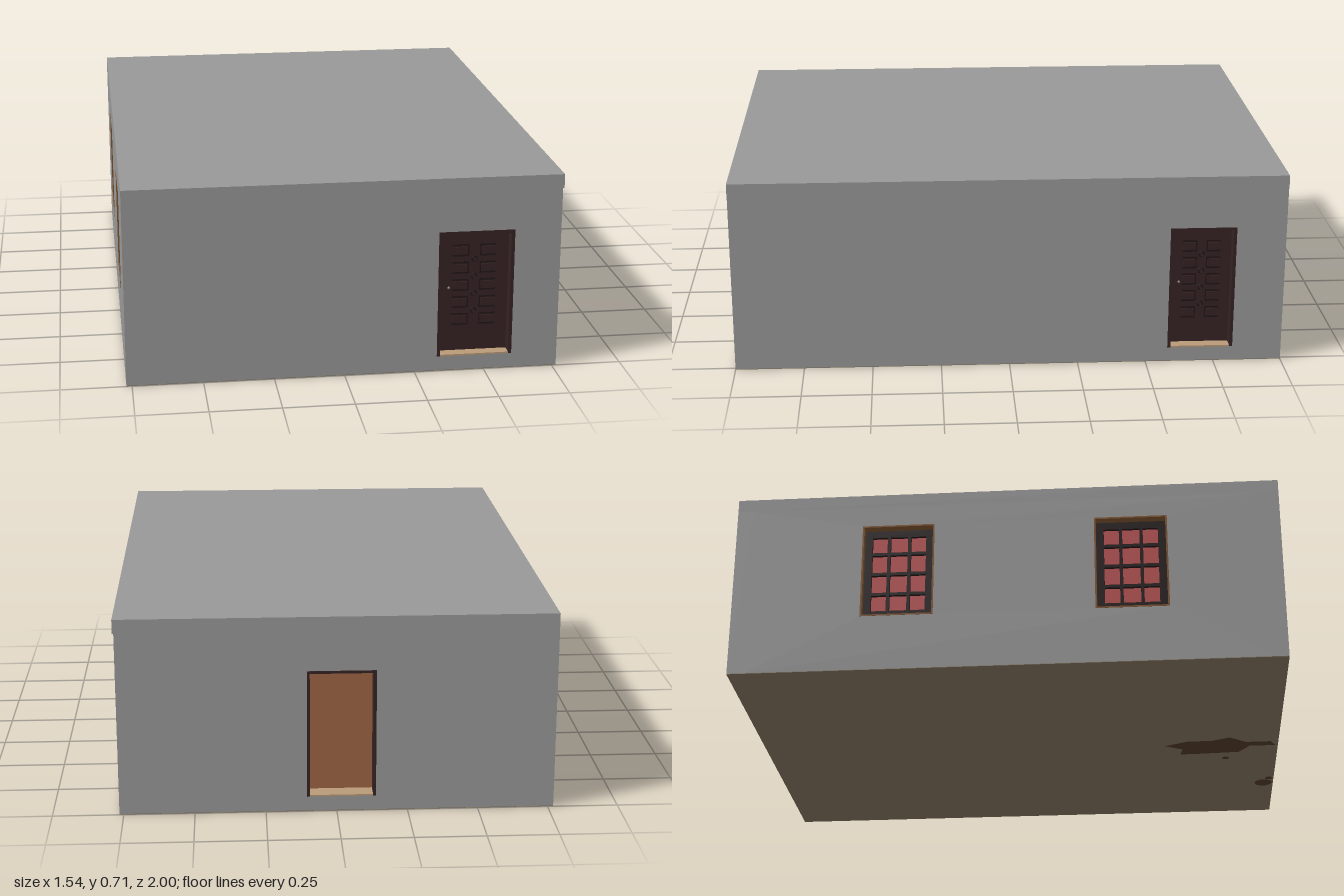
import * as THREE from 'three';

const mat = (name, color) => {
  const m = new THREE.MeshStandardMaterial({ color });
  m.name = name;
  return m;
};

const T = 0.06;          // wall thickness
const H = 0.665;         // wall height up to the roof slab
const DOOR = [0.055, 0.52];
const WINDOW = [0.215, 0.585];

export function createModel() {
  const M = {
    wall: mat('grey wall', 0x989898),
    plaster: mat('beige plaster', 0x85765e),
    stain: mat('dark stain', 0x543b2a),
    floor: mat('wood floor', 0x784b33),
    door: mat('dark door wood', 0x362323),
    groove: mat('door carving', 0x221617),
    sill: mat('tan threshold', 0xb89a78),
    trim: mat('window wood', 0x80552f),
    pane: mat('red pane', 0xb85252),
    metal: mat('handle metal', 0x8a8478),
  };
  const model = new THREE.Group();
  model.name = 'room';

  const add = (parent, name, geo, material, x = 0, y = 0, z = 0) => {
    const mesh = new THREE.Mesh(geo, material);
    mesh.name = name;
    mesh.position.set(x, y, z);
    parent.add(mesh);
    return mesh;
  };
  // box given by its min and max corners
  const box = (parent, name, material, x0, x1, y0, y1, z0, z1) =>
    add(parent, name, new THREE.BoxGeometry(x1 - x0, y1 - y0, z1 - z0), material,
      (x0 + x1) / 2, (y0 + y1) / 2, (z0 + z1) / 2);

  // wall facing local +z with its outer face at z = 0; holes are [x0, x1, y0, y1]
  const wall = (name, x0, x1, holes, position, turn) => {
    const g = new THREE.Group();
    g.name = name;
    g.position.set(...position);
    g.rotation.y = turn;
    model.add(g);
    const shape = new THREE.Shape();
    shape.moveTo(x0, 0.003).lineTo(x1, 0.003).lineTo(x1, H).lineTo(x0, H).closePath();
    for (const [a, b, c, d] of holes) {
      const hole = new THREE.Path();
      hole.moveTo(a, c).lineTo(a, d).lineTo(b, d).lineTo(b, c).closePath();
      shape.holes.push(hole);
    }
    add(g, name + 'Panel', new THREE.ExtrudeGeometry(shape, { depth: T, bevelEnabled: false }), M.wall, 0, 0, -T);
    return g;
  };

  // lining of an opening: two sides and a head, plus a sill
  const lining = (g, name, material, sillMaterial, [x0, x1, y0, y1], t) => {
    const z0 = -T - 0.002, z1 = 0.001;
    box(g, name + 'Side', material, x0, x0 + t, y0, y1, z0, z1);
    box(g, name + 'Side', material, x1 - t, x1, y0, y1, z0, z1);
    box(g, name + 'Head', material, x0 + t, x1 - t, y1 - t, y1, z0, z1);
    box(g, name + 'Sill', sillMaterial, x0 + t, x1 - t, y0, y0 + 0.006, z0, z1);
  };

  // closed door with five rows of carved panels
  const door = (g, hole) => {
    const [x0, x1, y0, y1] = hole;
    const w = x1 - x0, cx = (x0 + x1) / 2, face = -0.04;
    lining(g, 'doorFrame', M.door, M.sill, hole, 0.012);
    box(g, 'doorLeaf', M.door, x0 + 0.012, x1 - 0.012, y0 + 0.006, y1 - 0.012, face - 0.015, face);
    for (let row = 0; row < 5; row++) {
      const y = 0.18 + row * 0.0645;
      for (const s of [-1, 1]) {
        const px = cx + s * w * 0.18, hw = w * 0.108;
        for (const e of [-0.019, 0.019])
          box(g, 'panelMoulding', M.groove, px - hw, px + hw, y + e - 0.003, y + e + 0.003, face, face + 0.005);
        const ix = cx + s * w * 0.08;
        box(g, 'panelEdge', M.groove, ix - 0.002, ix + 0.002, y - 0.019, y + 0.019, face, face + 0.005);
        box(g, 'raisedPanel', M.door, px - hw * 0.8, px + hw * 0.8, y - 0.012, y + 0.012, face, face + 0.004);
      }
      if (row < 4) {
        const ring = new THREE.TorusGeometry(0.009, 0.003, 6, 12);
        add(g, 'rosette', ring, M.groove, cx, y + 0.032, face + 0.002);
      }
    }
    add(g, 'doorHandle', new THREE.SphereGeometry(0.005, 10, 8), M.metal, cx - w * 0.335, 0.3, face + 0.005);
  };

  // recessed window, three panes wide and four high
  const windowUnit = (g, hole) => {
    const [x0, x1, y0, y1] = hole;
    lining(g, 'windowLining', M.trim, M.trim, hole, 0.006);
    const a = x0 + 0.006, b = x1 - 0.006, c = y0 + 0.006, d = y1 - 0.006;
    box(g, 'windowPanes', M.pane, a, b, c, d, -0.048, -0.042);
    for (let i = 0; i <= 3; i++) {
      const r = i % 3 ? 0.006 : 0.014;
      const x = THREE.MathUtils.lerp(a + 0.014, b - 0.014, i / 3);
      box(g, 'windowUpright', M.groove, x - r, x + r, c, d, -0.054, -0.03);
    }
    for (let i = 0; i <= 4; i++) {
      const r = i % 4 ? 0.006 : 0.014;
      const y = THREE.MathUtils.lerp(c + 0.014, d - 0.014, i / 4);
      box(g, 'windowRail', M.groove, a, b, y - r, y + r, -0.053, -0.031);
    }
  };

  // four walls
  const frontDoor = [0.33, 0.6, ...DOOR];
  door(wall('frontWall', -0.77, 0.765, [frontDoor], [0, 0, 1], 0), frontDoor);

  const sideDoor = [0.58, 0.82, ...DOOR];
  door(wall('rightWall', -1 + T, 1 - T, [sideDoor], [0.765, 0, 0], Math.PI / 2), sideDoor);

  const doorway = [-0.105, 0.138, ...DOOR];
  const back = wall('backWall', -0.765, 0.77, [doorway], [0, 0, -1], Math.PI);
  lining(back, 'doorwayFrame', M.door, M.sill, doorway, 0.01);

  const windows = [-0.395, 0.457].map((x) => [x - 0.133, x + 0.133, ...WINDOW]);
  const left = wall('leftWall', -1 + T, 1 - T, windows, [-0.77, 0, 0], -Math.PI / 2);
  windows.forEach((hole) => windowUnit(left, hole));

  // roof, ceiling, floor and underside
  box(model, 'roof', M.wall, -0.77, 0.77, H, 0.715, -1, 1);
  box(model, 'ceiling', M.plaster, -0.77 + T, 0.765 - T, H - 0.004, H, -1 + T, 1 - T);
  box(model, 'floor', M.floor, -0.77 + T, 0.765 - T, 0.003, 0.05, -1 + T, 1 - T);
  box(model, 'underside', M.plaster, -0.77, 0.765, 0.001, 0.003, -1, 1);

  // stains under the floor, outlined as [x, z]
  const blot = [[0.04, 0.99], [0.04, 0.89], [0.1, 0.85], [0.11, 0.67], [0.11, 0.62], [0.06, 0.63],
    [0.02, 0.56], [-0.02, 0.65], [-0.02, 0.74], [-0.05, 0.81], [0, 0.875], [0, 0.97]];
  const stain = (shape, x = 0, z = 0) => {
    const mesh = add(model, 'stain', new THREE.ShapeGeometry(shape, 8), M.stain, x, 0, z);
    mesh.rotation.x = Math.PI / 2;
  };
  stain(new THREE.Shape(blot.map(([x, z]) => new THREE.Vector2(x, z))));
  for (const [x, z, r] of [[0.44, 0.96, 0.035], [0.16, 0.8, 0.014], [0.39, 0.98, 0.015]])
    stain(new THREE.Shape().absarc(0, 0, r, 0, Math.PI * 2), x, z);

  // small furnishings inside
  box(model, 'bench', M.sill, 0.12, 0.23, 0.05, 0.065, -0.66, -0.62);
  box(model, 'chest', M.wall, 0.5, 0.62, 0.05, 0.09, -0.26, -0.16);

  return model;
}
